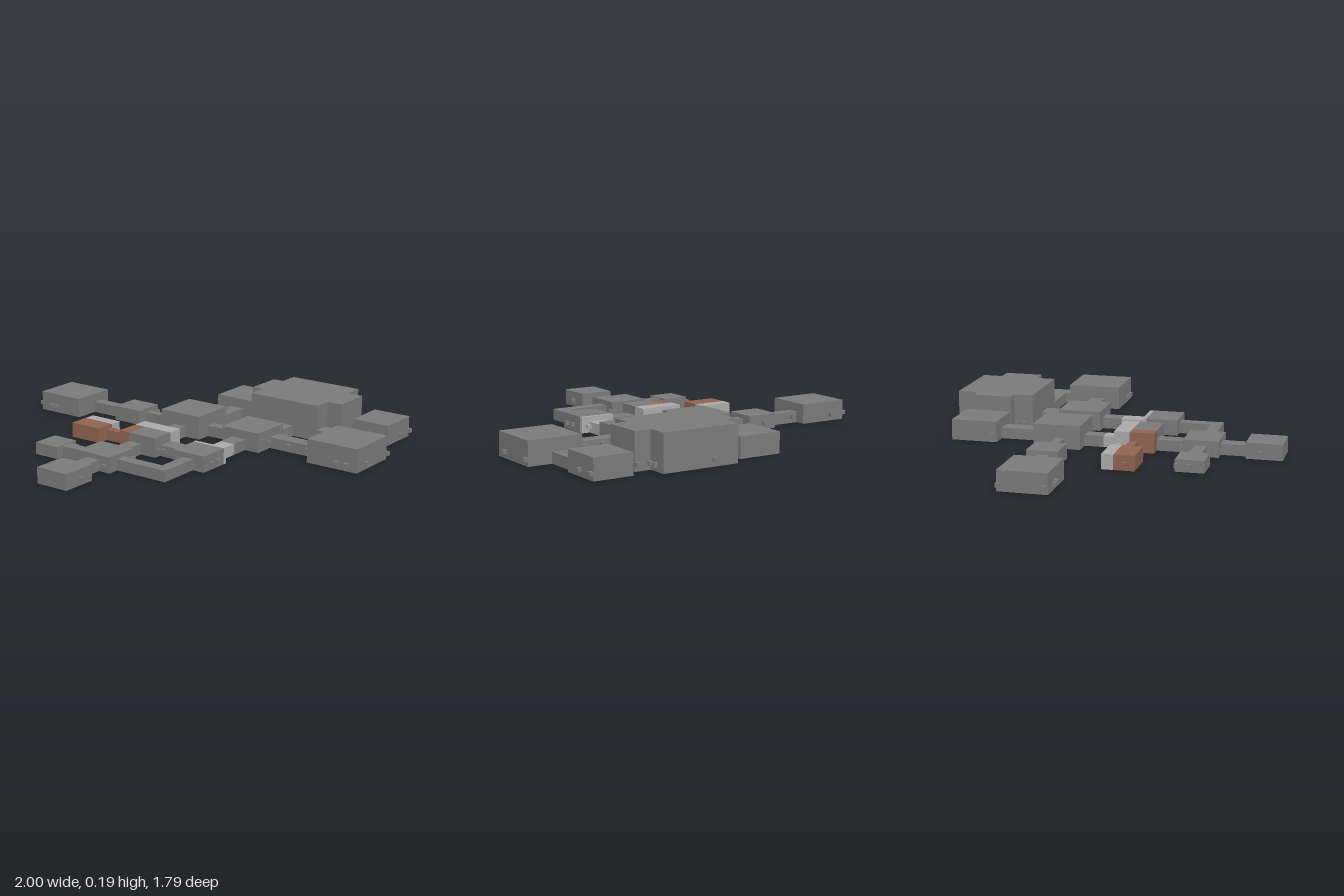
import * as THREE from 'three';

const stone = new THREE.MeshStandardMaterial({ name: 'stone grey', color: 0x7a7a7a });
const pale = new THREE.MeshStandardMaterial({ name: 'pale grey', color: 0xaaaaaa });
const clay = new THREE.MeshStandardMaterial({ name: 'clay brown', color: 0x8f6350 });
const rust = new THREE.MeshStandardMaterial({ name: 'rust orange', color: 0xb8651c });

const BASE = 0.003; // floor level, just above the hatch plates
const PALE_BACK = -0.02, PALE_FRONT = 0.13, CLAY_X = -0.115, CLAY_FRONT = 0.26;

function box(parent, name, [x0, x1, y0, y1, z0, z1], material) {
  const mesh = new THREE.Mesh(new THREE.BoxGeometry(x1 - x0, y1 - y0, z1 - z0), material);
  mesh.position.set((x0 + x1) / 2, (y0 + y1) / 2, (z0 + z1) / 2);
  mesh.name = name;
  parent.add(mesh);
}

// Cut an interval at the given positions
function spans(a, b, cuts) {
  const p = [a, ...cuts.filter((c) => c > a + 0.002 && c < b - 0.002), b];
  return p.slice(1).map((v, i) => [p[i], v]);
}

function zoneMaterial(x, z) {
  if (z > PALE_BACK && z < PALE_FRONT) return pale;
  if (z > PALE_FRONT && z < CLAY_FRONT && x < CLAY_X) return clay;
  return stone;
}

// A block split where the colour zones meet
function block(parent, name, [x0, x1, z0, z1, h]) {
  const group = new THREE.Group();
  group.name = name;
  for (const [za, zb] of spans(z0, z1, [PALE_BACK, PALE_FRONT])) {
    const inClay = za >= PALE_FRONT - 0.001 && zb < CLAY_FRONT;
    for (const [xa, xb] of spans(x0, x1, inClay ? [CLAY_X] : [])) {
      box(group, name + 'Section', [xa, xb, BASE, h, za, zb], zoneMaterial((xa + xb) / 2, (za + zb) / 2));
    }
  }
  parent.add(group);
}

// x0, x1, z0, z1, height
const rooms = {
  backLeftRoom: [-0.16, 0.07, -0.815, -0.575, 0.11],
  greatHall: [0.13, 0.54, -0.88, -0.47, 0.19],
  hallLeftWing: [0.54, 0.625, -0.775, -0.57, 0.19],
  hallRightWing: [0.07, 0.13, -0.775, -0.57, 0.19],
  backCornerRoom: [0.67, 0.875, -0.835, -0.615, 0.11],
  eastRoom: [0.69, 0.975, -0.425, -0.14, 0.125],
  centreRoom: [-0.2, 0.045, -0.365, -0.12, 0.125],
  crossRoom: [0.195, 0.415, -0.345, -0.12, 0.105],
  westRoom: [-0.98, -0.715, -0.3, -0.055, 0.105],
  smallWestRoom: [-0.53, -0.365, -0.3, -0.14, 0.08],
  clayRoom: [-0.51, -0.33, 0.07, 0.235, 0.08],
  middleRoom: [-0.175, 0.05, 0.05, 0.255, 0.105],
  sideRoom: [0.195, 0.38, 0.11, 0.295, 0.085],
  lowerRoom: [-0.175, 0.025, 0.4, 0.58, 0.085],
  closet: [-0.465, -0.325, 0.42, 0.565, 0.065],
  frontRoom: [-0.155, 0.025, 0.71, 0.895, 0.085],
};

// x0, x1, z0, z1
const corridors = [
  [-0.075, 0.005, -0.575, -0.365], [-0.715, -0.53, -0.245, -0.185],
  [-0.365, -0.2, -0.245, -0.2], [0.045, 0.195, -0.255, -0.2],
  [0.415, 0.69, -0.3, -0.225], [0.295, 0.395, -0.47, -0.345],
  [0.625, 0.67, -0.755, -0.675], [0.54, 0.765, -0.55, -0.47],
  [0.765, 0.85, -0.615, -0.425], [-0.115, -0.04, -0.12, 0.05],
  [0.255, 0.335, -0.12, 0.11], [-0.33, -0.175, 0.13, 0.172],
  [0.05, 0.195, 0.13, 0.215], [-0.115, -0.04, 0.255, 0.4],
  [0.255, 0.315, 0.295, 0.46], [0.025, 0.315, 0.46, 0.52],
  [-0.325, -0.175, 0.46, 0.52], [-0.115, -0.04, 0.58, 0.71],
];

// Wall lamp centres: x, z
const lamps = [
  [-0.17, -0.6], [0.015, -0.41], [0.265, -0.888], [0.12, -0.825], [0.12, -0.79],
  [0.55, -0.825], [0.55, -0.788], [0.615, -0.783], [0.12, -0.548], [0.12, -0.51],
  [0.61, -0.56], [0.885, -0.825], [0.885, -0.725], [0.985, -0.415], [0.985, -0.21],
  [0.865, -0.13], [0.92, -0.13], [0.71, -0.56], [0.66, -0.56],
  [0.255, -0.355], [0.425, -0.355], [0.425, -0.2], [0.185, -0.33],
  [0.245, -0.085], [0.245, -0.005], [0.51, -0.31], [0.595, -0.31], [0.615, -0.31],
  [0.53, -0.215], [0.645, -0.215], [-0.125, -0.375],
  [-0.99, -0.29], [-0.99, -0.07], [-0.895, -0.31], [-0.905, -0.045], [-0.87, -0.045],
  [-0.68, -0.255], [-0.455, -0.31], [-0.375, -0.31], [-0.25, -0.255],
  [-0.335, 0.08], [-0.52, 0.185], [-0.335, 0.225], [-0.185, 0.2], [-0.185, 0.08],
  [0.06, 0.24], [0.08, 0.225], [0.17, 0.12], [0.345, 0.1], [0.39, 0.19], [0.39, 0.245],
  [0.245, 0.45], [0.035, 0.41], [-0.145, 0.39], [0, 0.59],
  [-0.475, 0.49], [-0.475, 0.43], [-0.315, 0.43], [-0.165, 0.78], [0.035, 0.8],
];

// Floor hatches: x, z, half size
const hatches = [[0.82, -0.28, 0.04], [0.33, -0.67, 0.052], [0.35, -0.24, 0.04], [-0.07, -0.24, 0.045]];

export function createModel() {
  const model = new THREE.Group();
  model.name = 'roomComplex';
  for (const [name, size] of Object.entries(rooms)) block(model, name, size);
  for (const c of corridors) block(model, 'corridor', [...c, 0.06]);
  for (const [x, z] of lamps) {
    box(model, 'wallLamp', [x - 0.01, x + 0.01, 0.027, 0.047, z - 0.01, z + 0.01], zoneMaterial(x, z));
  }
  for (const [x, z, s] of hatches) {
    box(model, 'floorHatch', [x - s, x + s, 0, BASE, z - s, z + s], rust);
  }
  return model;
}
